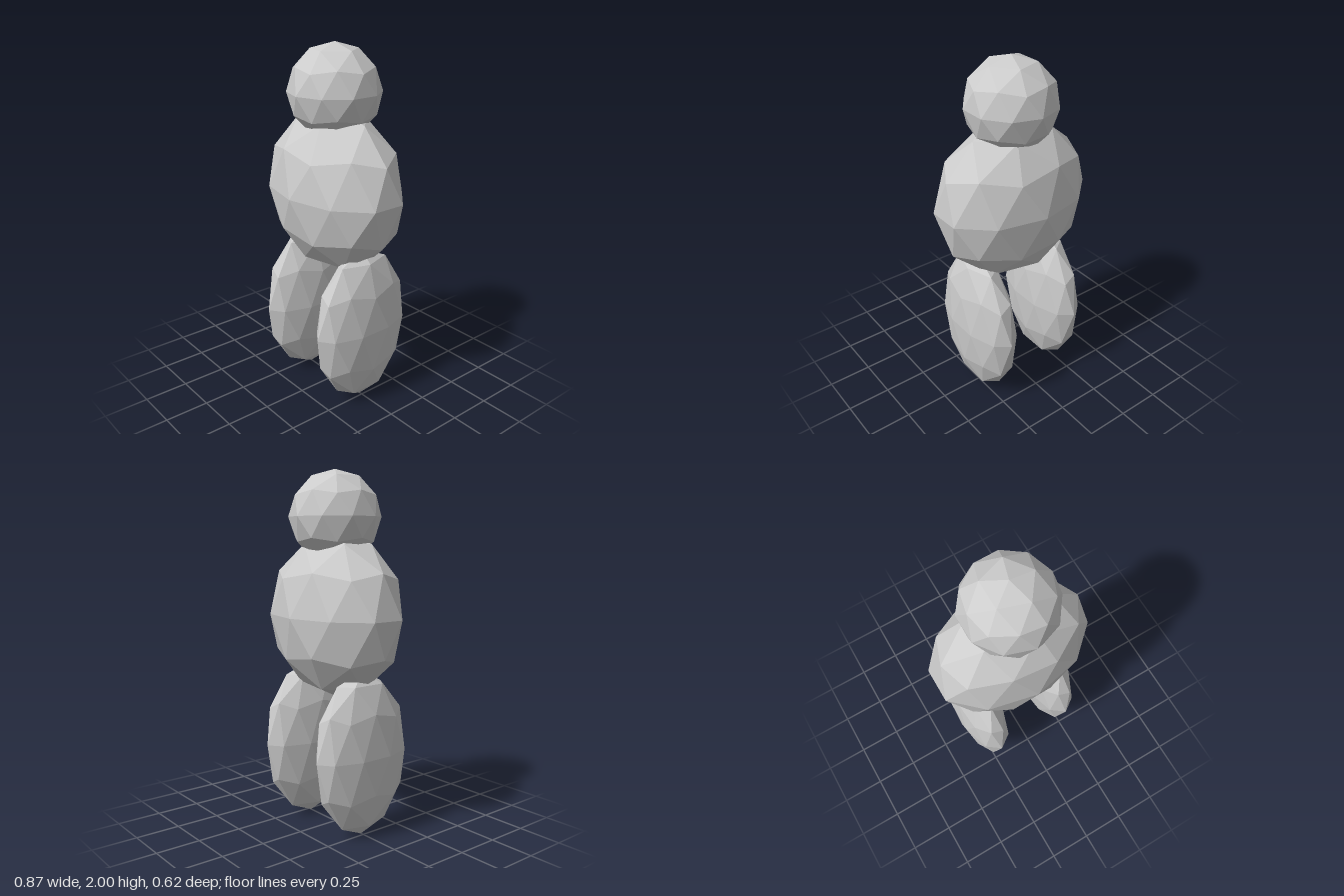
import * as THREE from 'three';

const GOLDEN = (1 + Math.sqrt(5)) / 2;
const material = new THREE.MeshStandardMaterial({ color: 0xcccccc, flatShading: true });

// Faceted ellipsoid: 80-sided icosphere turned so a corner points straight up
function blob(name, [rx, ry, rz], [x, y, z]) {
  const geometry = new THREE.IcosahedronGeometry(1, 1);
  geometry.rotateZ(-Math.atan(1 / GOLDEN));
  geometry.scale(rx, ry, rz);
  geometry.computeVertexNormals();
  const mesh = new THREE.Mesh(geometry, material);
  mesh.name = name;
  mesh.position.set(x, y, z);
  return mesh;
}

export function createModel() {
  const model = new THREE.Group();
  model.name = 'figure';

  // Round head sunk into the top of the body
  model.add(blob('head', [0.255, 0.255, 0.255], [0, 1.745, 0]));

  // Body, flattened front to back
  model.add(blob('body', [0.46, 0.46, 0.31], [0, 1.208, 0]));

  // Two thin, tall legs with the same facets
  for (const [name, side] of [['leftLeg', 1], ['rightLeg', -1]]) {
    model.add(blob(name, [0.137, 0.46, 0.31], [side * 0.231, 0.461, 0]));
  }

  return model;
}
